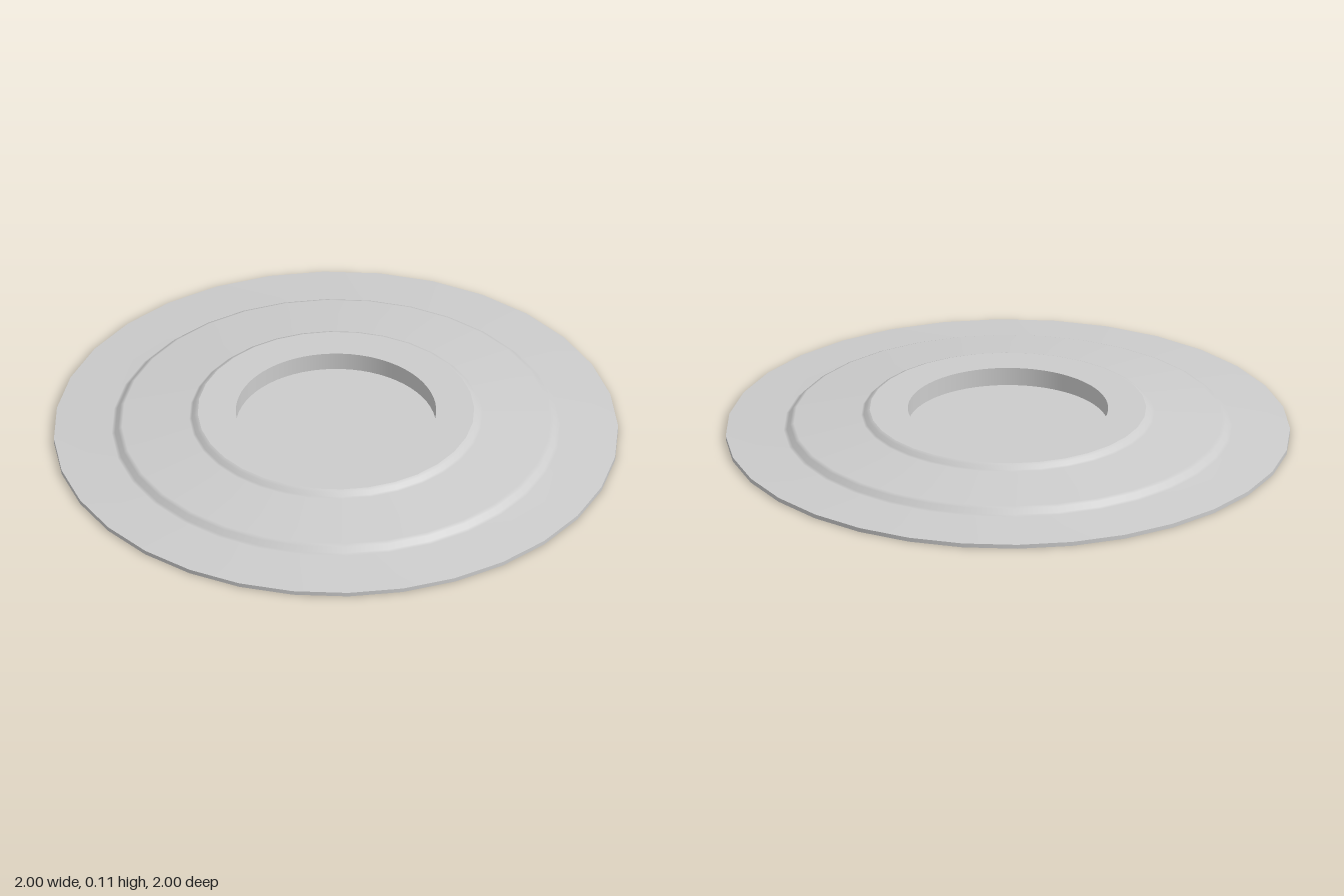
import * as THREE from 'three';

const SIDES = 32, HOLE_SIDES = 64;
const TOP = 0.108, FLOOR = 0.042, HOLE_R = 0.355, LIP_R = 0.49;

export function createModel() {
  const group = new THREE.Group();
  const material = new THREE.MeshStandardMaterial({ color: 0xcccccc });

  const add = (name, geometry) => {
    const mesh = new THREE.Mesh(geometry, material);
    mesh.name = name;
    group.add(mesh);
    return mesh;
  };
  const lathe = (name, points, sides) =>
    add(name, new THREE.LatheGeometry(points.map(([r, y]) => new THREE.Vector2(r, y)), sides));
  const ring = (r, sides) => Array.from({ length: sides }, (_, i) => {
    const a = (i / sides) * Math.PI * 2;
    return new THREE.Vector2(r * Math.cos(a), r * Math.sin(a));
  });

  // Flat underside and thin outer rim
  lathe('underside', [[0, 0], [1, 0]], SIDES);
  lathe('outerRim', [[1, 0], [1, 0.015]], SIDES);

  // Two gently sloping terraces, each ending in a short rounded step
  lathe('steppedTop', [
    [1, 0.015], [0.795, 0.033], [0.783, 0.037], [0.772, 0.054], [0.758, 0.06],
    [0.52, 0.087], [0.511, 0.091], [0.502, 0.103], [LIP_R, TOP],
  ], SIDES);

  // Flat lip around the recess
  const lipShape = new THREE.Shape(ring(LIP_R, SIDES));
  lipShape.holes.push(new THREE.Path(ring(HOLE_R, HOLE_SIDES)));
  const lip = new THREE.ShapeGeometry(lipShape);
  lip.rotateX(-Math.PI / 2).translate(0, TOP, 0);
  add('lip', lip);

  // Round recess in the middle
  lathe('recessWall', [[HOLE_R, TOP], [HOLE_R, FLOOR]], HOLE_SIDES);
  lathe('recessFloor', [[HOLE_R, FLOOR], [0, FLOOR]], HOLE_SIDES);

  return group;
}
